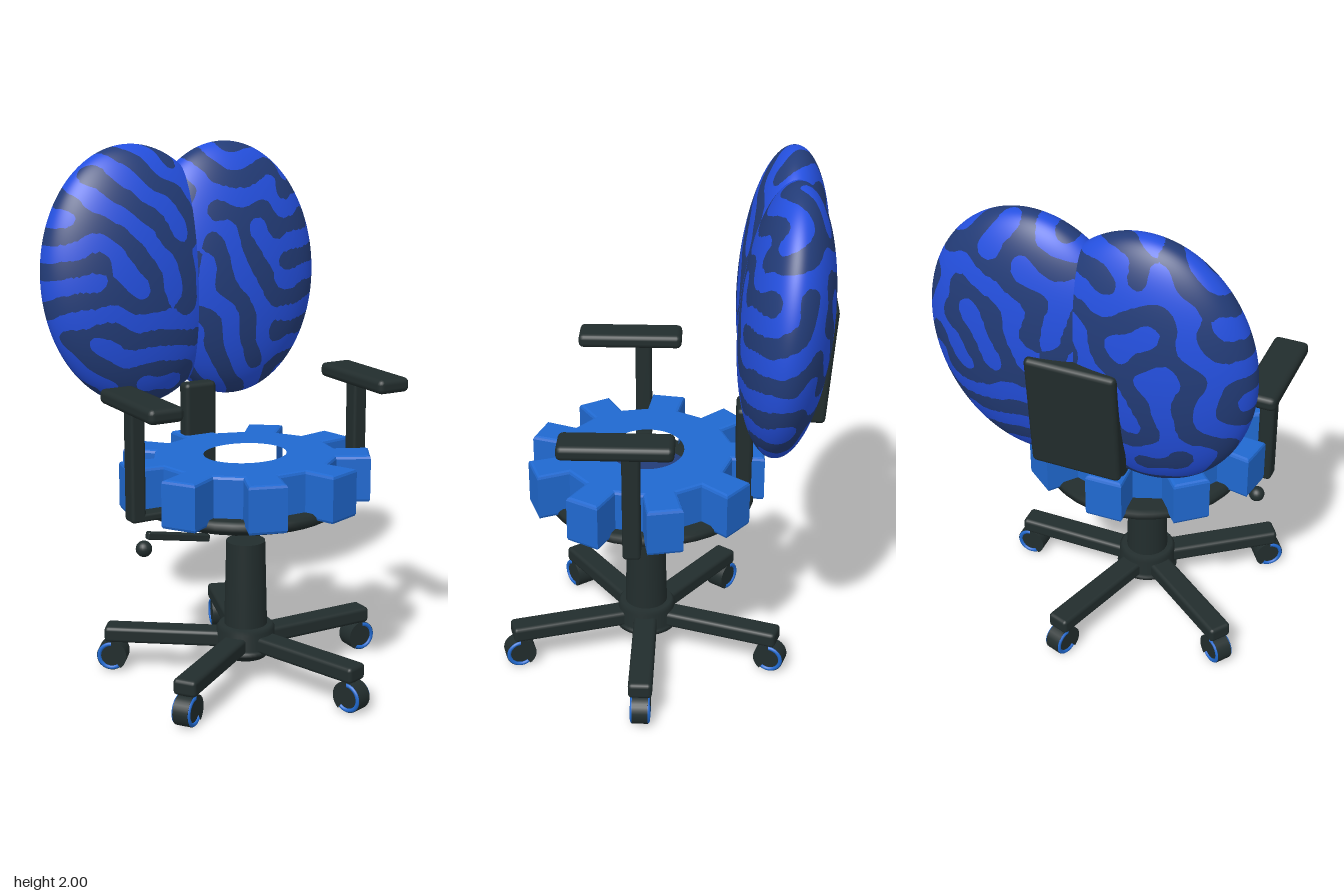
import * as THREE from 'three';
import { mergeVertices } from 'three/addons/utils/BufferGeometryUtils.js';
import { RoundedBoxGeometry } from 'three/addons/geometries/RoundedBoxGeometry.js';

const mat = (name, color) => {
  const m = new THREE.MeshStandardMaterial({ color });
  m.name = name;
  return m;
};

export function createModel() {
  const black = mat('charcoal', 0x222d2d);
  const blue = mat('seat blue', 0x2069d0);
  const royal = mat('royal blue', 0x2450e0);
  const navy = mat('navy', 0x233c78);
  const root = new THREE.Group();
  root.name = 'officeChair';
  const CZ = 0.07; // z of the swivel axis

  const add = (name, geo, material, x = 0, y = 0, z = 0, parent = root) => {
    const m = new THREE.Mesh(geo, material);
    m.name = name;
    m.position.set(x, y, z);
    parent.add(m);
    return m;
  };
  const box = (w, h, d, r = 0.012) => new RoundedBoxGeometry(w, h, d, 2, r);
  const lathe = (pts) => new THREE.LatheGeometry(pts.map(([x, y]) => new THREE.Vector2(x, y)), 40);

  // Five-star base with casters
  add('hub', lathe([[0, 0.08], [0.08, 0.08], [0.085, 0.105], [0.122, 0.11], [0.122, 0.125],
    [0.112, 0.13], [0.112, 0.195], [0.1, 0.21], [0, 0.21]]), black, 0, 0, CZ);
  for (let i = 0; i < 5; i++) {
    const leg = new THREE.Group();
    leg.name = 'baseLeg';
    leg.position.z = CZ;
    leg.rotation.y = -i * Math.PI * 2 / 5;
    root.add(leg);
    add('legBeam', box(0.5, 0.062, 0.09, 0.015), black, 0.295, 0.15, 0, leg);
    add('casterStem', new THREE.CylinderGeometry(0.018, 0.018, 0.06, 12), black, 0.515, 0.1, 0, leg);
    add('wheel', new THREE.CylinderGeometry(0.057, 0.057, 0.06, 28).rotateX(Math.PI / 2), black, 0.52, 0.06, 0, leg);
    add('casterHood', new THREE.CylinderGeometry(0.06, 0.06, 0.075, 20, 1, false, Math.PI, Math.PI * 0.8)
      .rotateX(Math.PI / 2), black, 0.52, 0.062, 0, leg);
    for (const s of [-1, 1]) {
      add('wheelRing', new THREE.TorusGeometry(0.048, 0.008, 8, 28), blue, 0.52, 0.06, s * 0.029, leg);
    }
  }

  // Column, tilt mechanism and lever
  add('column', new THREE.CylinderGeometry(0.074, 0.083, 0.36, 32), black, 0, 0.36, CZ);
  add('tiltMechanism', box(0.21, 0.09, 0.18, 0.02), black, 0, 0.635, CZ);
  const lever = add('lever', box(0.26, 0.028, 0.028, 0.006), black, -0.305, 0.612, 0.1);
  lever.rotation.z = -0.19;
  add('leverKnob', new THREE.SphereGeometry(0.03, 20, 14), black, -0.445, 0.588, 0.1);

  // Seat pan
  add('seatPan', lathe([[0, 0.655], [0.32, 0.655], [0.35, 0.665], [0.395, 0.69], [0.395, 0.715],
    [0.38, 0.725], [0, 0.725]]), black, 0, 0, 0.05);

  // Cog-shaped seat with nine teeth and a recessed centre
  const cog = new THREE.Shape();
  const deg = Math.PI / 180;
  for (let i = 0; i < 9; i++) {
    [[-11, 0.73], [-8.5, 1], [8.5, 1], [11, 0.73]].forEach(([da, r], k) => {
      const a = (20 + 40 * i + da + 1.2) * deg;
      const x = 0.48 * r * Math.sin(a), z = 0.45 * r * Math.cos(a);
      if (i + k === 0) cog.moveTo(x, z); else cog.lineTo(x, z);
    });
  }
  cog.closePath();
  const hole = new THREE.Path();
  hole.absellipse(0, 0, 0.172, 0.154, 0, Math.PI * 2, true);
  cog.holes.push(hole);
  const cogGeo = new THREE.ExtrudeGeometry(cog, {
    depth: 0.156, bevelThickness: 0.012, bevelSize: 0.012, bevelOffset: -0.012, bevelSegments: 2, curveSegments: 32,
  }).rotateX(Math.PI / 2);
  add('cogSeat', cogGeo, blue, 0, 0.868, 0.065);
  add('seatRecess', new THREE.CylinderGeometry(0.185, 0.185, 0.06, 40).scale(1, 1, 0.9), navy, 0, 0.755, 0.065);

  // Armrests
  for (const s of [-1, 1]) {
    add('armPad', box(0.135, 0.055, 0.41, 0.02), black, s * 0.473, 1.137, 0.15);
    add('armPost', box(0.058, 0.42, 0.065), black, s * 0.475, 0.907, 0.098);
    add('armBracket', box(0.17, 0.03, 0.065, 0.01), black, s * 0.415, 0.712, 0.098);
  }

  // Back support
  add('backPost', box(0.136, 0.39, 0.065, 0.018), black, 0, 0.89, -0.303);
  add('backPostFoot', box(0.136, 0.04, 0.14), black, 0, 0.705, -0.265);
  const plate = add('backPlate', box(0.33, 0.45, 0.08, 0.018), black, 0, 1.305, -0.567);
  plate.rotation.x = -0.074;

  // Backrest lobes; strokes guide the winding dark bands (hundredths, x y pairs)
  const leftBands = [
    [-25, 194, -17, 186, -7, 179, -3, 166], [-39, 189, -28, 179, -15, 169, -7, 156, -4, 140],
    [-49, 178, -35, 171, -28, 166], [-55, 166, -44, 167, -35, 162, -39, 155, -57, 153],
    [-23, 161, -25, 148, -17, 142], [-57, 142, -39, 145, -28, 137, -4, 134],
    [-52, 132, -39, 132, -28, 125, -4, 124], [-44, 121, -31, 114, -4, 113], [-28, 105, -4, 105],
  ];
  const rightBands = [
    [6, 193, 14, 182, 28, 185, 38, 190], [9, 174, 20, 171, 17, 153, 33, 150, 57, 156],
    [28, 174, 33, 163, 49, 169], [9, 161, 13, 140, 22, 132, 22, 116],
    [33, 140, 51, 140], [33, 126, 46, 124], [6, 124, 13, 111],
  ];
  for (const [name, s, bands, seed] of [['leftLobe', 1, rightBands, 7], ['rightLobe', -1, leftBands, 23]]) {
    const lobe = add(name, lobeGeometry(s * 0.205, bands, seed), [royal, navy], s * 0.205, 1.5, -0.432);
    lobe.rotation.x = -0.074;
  }
  return root;
}

// Ellipsoid whose faces are split along winding bands grown by local activation and inhibition
function lobeGeometry(cx, bands, seed) {
  const R = new THREE.Vector3(0.385, 0.5, 0.166);
  let ico = new THREE.IcosahedronGeometry(1, 24);
  ico.deleteAttribute('normal');
  ico.deleteAttribute('uv');
  ico = mergeVertices(ico);
  const dirs = [];
  for (let i = 0; i < ico.attributes.position.count; i++) {
    dirs.push(new THREE.Vector3().fromBufferAttribute(ico.attributes.position, i).normalize());
  }
  const pts = dirs.map((d) => d.clone().multiply(R));
  const random = () => (seed = (seed * 16807) % 2147483647) / 2147483647;

  // Starting state: guided bands in front, noise elsewhere
  const segs = [];
  for (const b of bands) {
    for (let k = 0; k + 3 < b.length; k += 2) {
      const v = (j) => new THREE.Vector3(b[j] / 100 - cx, b[j + 1] / 100 - 1.5, 0);
      segs.push(new THREE.Line3(v(k), v(k + 2)));
    }
  }
  const flat = new THREE.Vector3(), near = new THREE.Vector3();
  let u = pts.map((p) => {
    const noise = random() < 0.5 ? -1 : 1;
    if (p.z < 0) return noise;
    flat.set(p.x, p.y, 0);
    const d = Math.min(...segs.map((l) => l.closestPointToPoint(flat, true, near).distanceTo(flat)));
    return d < 0.035 ? 1 : d < 0.09 ? -1 : noise;
  });

  // Near and far neighbours on the surface
  const inner = pts.map((_, i) => [i]), outer = pts.map((_, i) => [i]);
  for (let i = 0; i < pts.length; i++) {
    for (let j = 0; j < i; j++) {
      const d = pts[i].distanceToSquared(pts[j]);
      if (d > 0.0081) continue;
      outer[i].push(j);
      outer[j].push(i);
      if (d < 0.002025) {
        inner[i].push(j);
        inner[j].push(i);
      }
    }
  }
  for (let n = 0; n < 20; n++) {
    const mean = (list) => {
      let t = 0;
      for (const j of list) t += u[j];
      return t / list.length;
    };
    u = u.map((_, i) => Math.tanh(4 * (mean(inner[i]) - mean(outer[i]))));
  }

  // Clip every triangle to each side of the band edge
  const position = [], normal = [], counts = [];
  const emit = (d) => {
    const n = d.clone().divide(R).normalize();
    position.push(d.x * R.x, d.y * R.y, d.z * R.z);
    normal.push(n.x, n.y, n.z);
  };
  for (const side of [-1, 1]) {
    for (let t = 0; t < ico.index.count; t += 3) {
      const poly = [];
      for (let k = 0; k < 3; k++) {
        const a = ico.index.getX(t + k), b = ico.index.getX(t + (k + 1) % 3);
        if (u[a] * side >= 0) poly.push(dirs[a]);
        if (u[a] * u[b] < 0) poly.push(dirs[a].clone().lerp(dirs[b], u[a] / (u[a] - u[b])).normalize());
      }
      for (let k = 1; k + 1 < poly.length; k++) [poly[0], poly[k], poly[k + 1]].forEach(emit);
    }
    counts.push(position.length / 3);
  }
  const geo = new THREE.BufferGeometry();
  geo.setAttribute('position', new THREE.Float32BufferAttribute(position, 3));
  geo.setAttribute('normal', new THREE.Float32BufferAttribute(normal, 3));
  geo.addGroup(0, counts[0], 0);
  geo.addGroup(counts[0], counts[1] - counts[0], 1);
  return geo;
}
